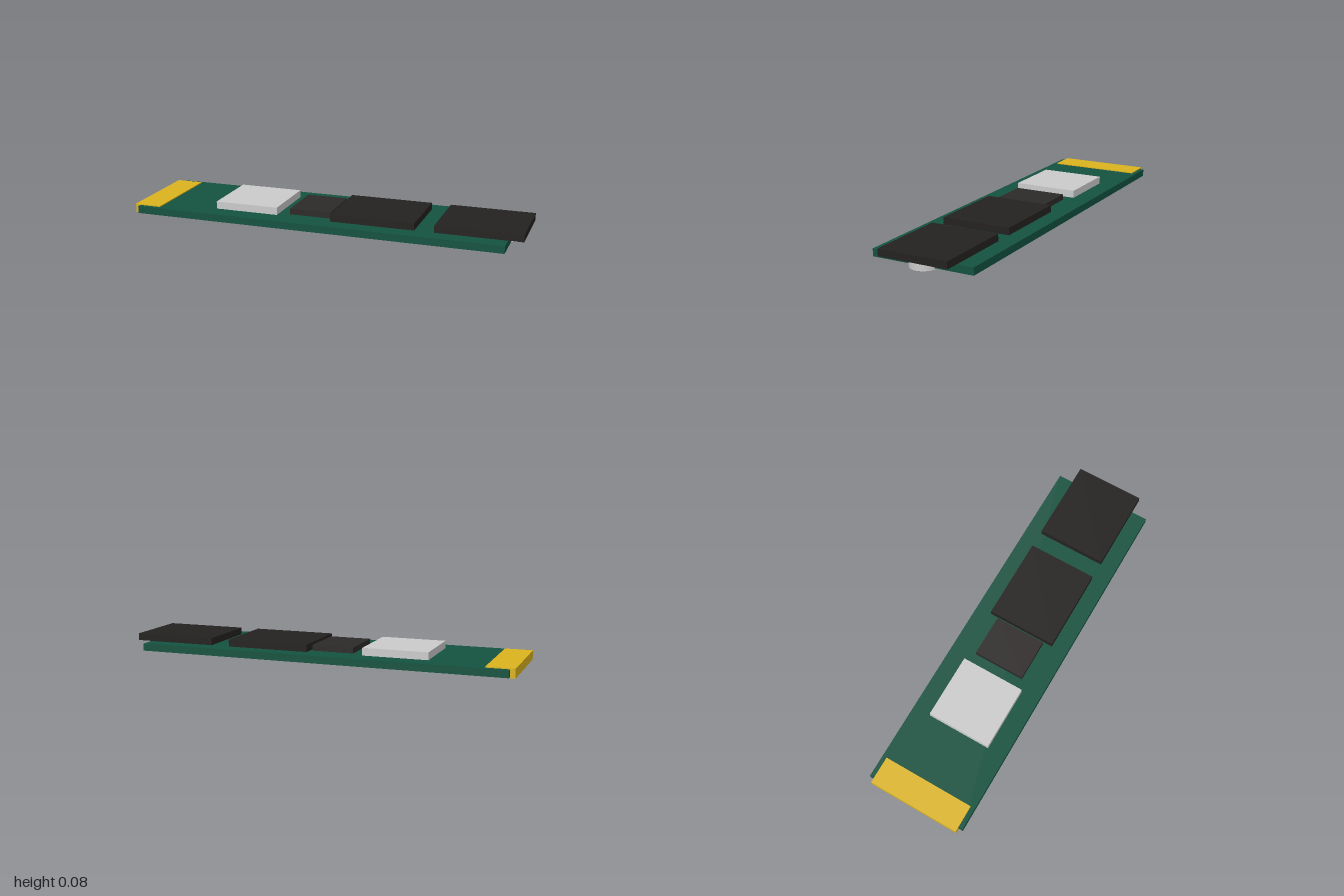
import * as THREE from 'three';

const GREEN = 0x14523f, GOLD = 0xdcb41e, BLACK = 0x242220, CHARCOAL = 0x2d2929, GREY = 0xcccccc;

// Box given by its x range, y range and full depth, centred on z = 0
function slab(name, color, [x0, x1], [y0, y1], depth) {
  const mesh = new THREE.Mesh(
    new THREE.BoxGeometry(x1 - x0, y1 - y0, depth),
    new THREE.MeshStandardMaterial({ color })
  );
  mesh.position.set((x0 + x1) / 2, (y0 + y1) / 2, 0);
  mesh.name = name;
  return mesh;
}

export function createModel() {
  const model = new THREE.Group();
  model.name = 'storageCard';
  const boardTop = 0.044;

  // Circuit board and the gold contact edge wrapped round its end
  model.add(
    slab('circuitBoard', GREEN, [-0.975, 0.925], [0.007, boardTop], 0.524),
    slab('contactEdge', GOLD, [-1, -0.86], [0.002, 0.049], 0.478)
  );

  // Chips on the upper face
  model.add(
    slab('controllerChip', GREY, [-0.572, -0.24], [boardTop, 0.082], 0.332),
    slab('cacheChip', CHARCOAL, [-0.182, 0.033], [boardTop, 0.073], 0.266)
  );
  [[0.046, 0.474], [0.572, 1]].forEach((range, i) =>
    model.add(slab(`memoryChip${i + 1}`, BLACK, range, [boardTop, 0.08], 0.357)));

  // Round mounting post at the far end
  const post = new THREE.Mesh(
    new THREE.CylinderGeometry(0.069, 0.069, 0.05, 32),
    new THREE.MeshStandardMaterial({ color: GREY })
  );
  post.position.set(0.905, 0.025, 0);
  post.name = 'mountingPost';
  model.add(post);

  return model;
}
